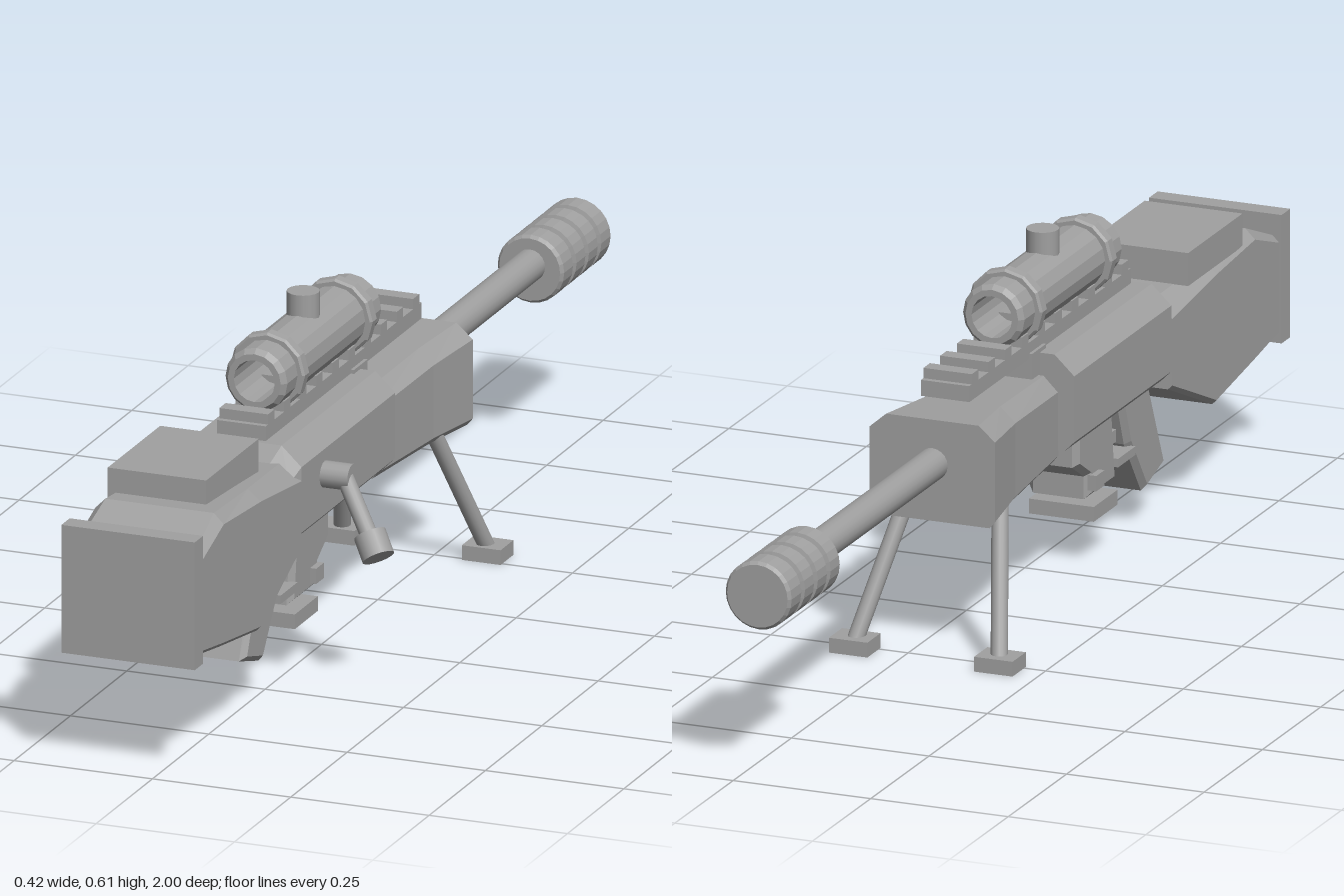
import * as THREE from 'three';

const CX = -0.044; // x of the bore axis

export function createModel() {
  const group = new THREE.Group();
  const grey = new THREE.MeshStandardMaterial({ color: 0xa0a0a0 });
  grey.name = 'grey';

  const add = (name, geo, x = CX, y = 0, z = 0) => {
    const mesh = new THREE.Mesh(geo, grey);
    mesh.name = name;
    mesh.position.set(x, y, z);
    group.add(mesh);
    return mesh;
  };
  const box = (name, w, y0, y1, z0, z1, x = CX) =>
    add(name, new THREE.BoxGeometry(w, y1 - y0, z1 - z0), x, (y0 + y1) / 2, (z0 + z1) / 2);

  // Cylinder between two points
  const rod = (name, a, b, r, sides = 16) => {
    const p = new THREE.Vector3(...a), q = new THREE.Vector3(...b);
    const mesh = add(name, new THREE.CylinderGeometry(r, r, p.distanceTo(q), sides));
    mesh.position.copy(p).add(q).multiplyScalar(0.5);
    mesh.quaternion.setFromUnitVectors(new THREE.Vector3(0, 1, 0), q.sub(p).normalize());
    return mesh;
  };

  // Chamfered body lofted along z; sections: [z, y0, y1, halfWidth, topInset, topDrop, bottomInset, bottomRise]
  const loft = (name, sections) => {
    const rings = sections.map(([z, y0, y1, w, ti, td, bi, br]) => {
      const right = [[w - bi, y0], [w, y0 + br], [w, y1 - td], [w - ti, y1]];
      const left = right.map(([x, y]) => [-x, y]).reverse();
      return [...right, ...left].map(([x, y]) => [x, y, z]);
    });
    const pos = [];
    const tri = (a, b, c) => pos.push(...a, ...b, ...c);
    for (let s = 0; s + 1 < rings.length; s++) {
      const a = rings[s], b = rings[s + 1];
      for (let i = 0; i < 8; i++) {
        const j = (i + 1) % 8;
        tri(a[i], b[i], b[j]);
        tri(a[i], b[j], a[j]);
      }
    }
    const first = rings[0], last = rings[rings.length - 1];
    for (let i = 1; i < 7; i++) {
      tri(first[0], first[i], first[i + 1]);
      tri(last[0], last[i + 1], last[i]);
    }
    const geo = new THREE.BufferGeometry();
    geo.setAttribute('position', new THREE.Float32BufferAttribute(pos, 3));
    geo.computeVertexNormals();
    return add(name, geo);
  };

  // Side profile in (z, y) extruded across x with a small chamfer
  const sidePlate = (name, points, width) => {
    const bevel = 0.01;
    const shape = new THREE.Shape(points.map(([z, y]) => new THREE.Vector2(z, y)));
    const geo = new THREE.ExtrudeGeometry(shape, {
      depth: width - 2 * bevel, bevelSize: bevel, bevelThickness: bevel, bevelOffset: -bevel, bevelSegments: 1,
    });
    geo.translate(0, 0, -width / 2 + bevel);
    geo.rotateY(-Math.PI / 2);
    return add(name, geo);
  };

  // Turned part along z; points are [radius, z], each straight run kept crisp
  const turned = (name, points, sides, y) => {
    const pts = points.map(([r, z]) => new THREE.Vector2(r, z));
    const geo = new THREE.LatheGeometry(pts, sides).toNonIndexed();
    geo.rotateX(Math.PI / 2);
    geo.computeVertexNormals();
    return add(name, geo, CX, y, 0);
  };

  // Stock
  box('buttPlate', 0.241, 0.202, 0.428, 0.963, 1.0);
  loft('stock', [
    [0.965, 0.215, 0.39, 0.116, 0.012, 0.012, 0.008, 0.008],
    [0.86, 0.198, 0.433, 0.116, 0.018, 0.018, 0.008, 0.008],
    [0.695, 0.174, 0.423, 0.116, 0.024, 0.02, 0.008, 0.008],
    [0.51, 0.255, 0.41, 0.114, 0.036, 0.03, 0.008, 0.008],
  ]);
  box('cheekRest', 0.178, 0.415, 0.473, 0.585, 0.818, -0.066);

  // Receiver, tapered at its rear edge
  loft('receiver', [
    [0.53, 0.285, 0.41, 0.1, 0.036, 0.03, 0.01, 0.01],
    [0.508, 0.27, 0.438, 0.113, 0.036, 0.034, 0.018, 0.018],
    [0.092, 0.27, 0.438, 0.113, 0.036, 0.034, 0.018, 0.018],
  ]);
  box('railSupport', 0.1, 0.4, 0.445, 0.06, 0.12);

  // Flared handguard
  loft('handguard', [
    [0.095, 0.248, 0.398, 0.083, 0.026, 0.026, 0.01, 0.012],
    [-0.12, 0.242, 0.409, 0.096, 0.028, 0.026, 0.01, 0.012],
    [-0.25, 0.238, 0.416, 0.114, 0.03, 0.026, 0.01, 0.012],
  ]);

  // Barrel and grooved muzzle
  rod('barrel', [CX, 0.338, -0.2], [CX, 0.338, -0.8], 0.028, 20);
  const muzzle = [[0, -1], [0.055, -1], [0.06, -0.994]];
  for (const z of [-0.945, -0.89, -0.835]) {
    muzzle.push([0.06, z - 0.008], [0.053, z - 0.006], [0.053, z + 0.006], [0.06, z + 0.008]);
  }
  muzzle.push([0.06, -0.788], [0.055, -0.782], [0, -0.782]);
  turned('muzzle', muzzle, 24, 0.33);

  // Toothed top rail
  box('rail', 0.088, 0.436, 0.464, -0.195, 0.497);
  for (let i = 0; i < 10; i++) {
    const z = 0.473 - i * 0.0715;
    box('railTooth', 0.088, 0.462, 0.482, z - 0.014, z + 0.014);
  }

  // Hollow scope with clamp rings and adjustment knob
  turned('scopeTube', [
    [0.037, 0.005], [0.048, 0.005], [0.056, 0.014], [0.056, 0.43],
    [0.048, 0.44], [0.037, 0.44], [0.037, 0.005],
  ], 16, 0.52);
  for (const z of [0.072, 0.372]) {
    turned('scopeRing', [
      [0.05, z - 0.013], [0.064, z - 0.013], [0.068, z - 0.009], [0.068, z + 0.009],
      [0.064, z + 0.013], [0.05, z + 0.013],
    ], 12, 0.52);
  }
  box('scopeMount', 0.06, 0.474, 0.497, 0.1, 0.34);
  rod('scopeKnob', [CX, 0.56, 0.223], [CX, 0.612, 0.223], 0.028, 16);

  // Bolt handle on the left side
  rod('boltStub', [0.05, 0.36, 0.405], [0.119, 0.36, 0.405], 0.023);
  rod('boltArm', [0.104, 0.362, 0.405], [0.168, 0.272, 0.446], 0.015);
  rod('boltKnob', [0.166, 0.278, 0.443], [0.188, 0.244, 0.459], 0.028);

  // Grip, magazine and trigger parts
  sidePlate('grip', [
    [0.555, 0.24], [0.622, 0.088], [0.535, 0.062], [0.462, 0.165], [0.43, 0.25], [0.43, 0.29], [0.53, 0.29],
  ], 0.112);
  sidePlate('magazine', [
    [0.39, 0.29], [0.405, 0.16], [0.41, 0.12], [0.29, 0.12], [0.29, 0.16], [0.24, 0.19], [0.24, 0.29],
  ], 0.112);
  box('magazineLip', 0.134, 0.135, 0.162, 0.295, 0.33);
  box('triggerGuard', 0.124, 0.145, 0.16, 0.4, 0.475);
  box('trigger', 0.1, 0.183, 0.205, 0.395, 0.42);
  box('magazineFloorBar', 0.118, 0.078, 0.104, 0.303, 0.405);

  // Bipod
  for (const side of [-1, 1]) {
    rod('bipodLeg', [CX + side * 0.08, 0.262, -0.148], [CX + side * 0.131, 0.018, -0.272], 0.0145);
    box('bipodFoot', 0.07, 0, 0.026, -0.3, -0.243, CX + side * 0.132);
  }
  return group;
}
